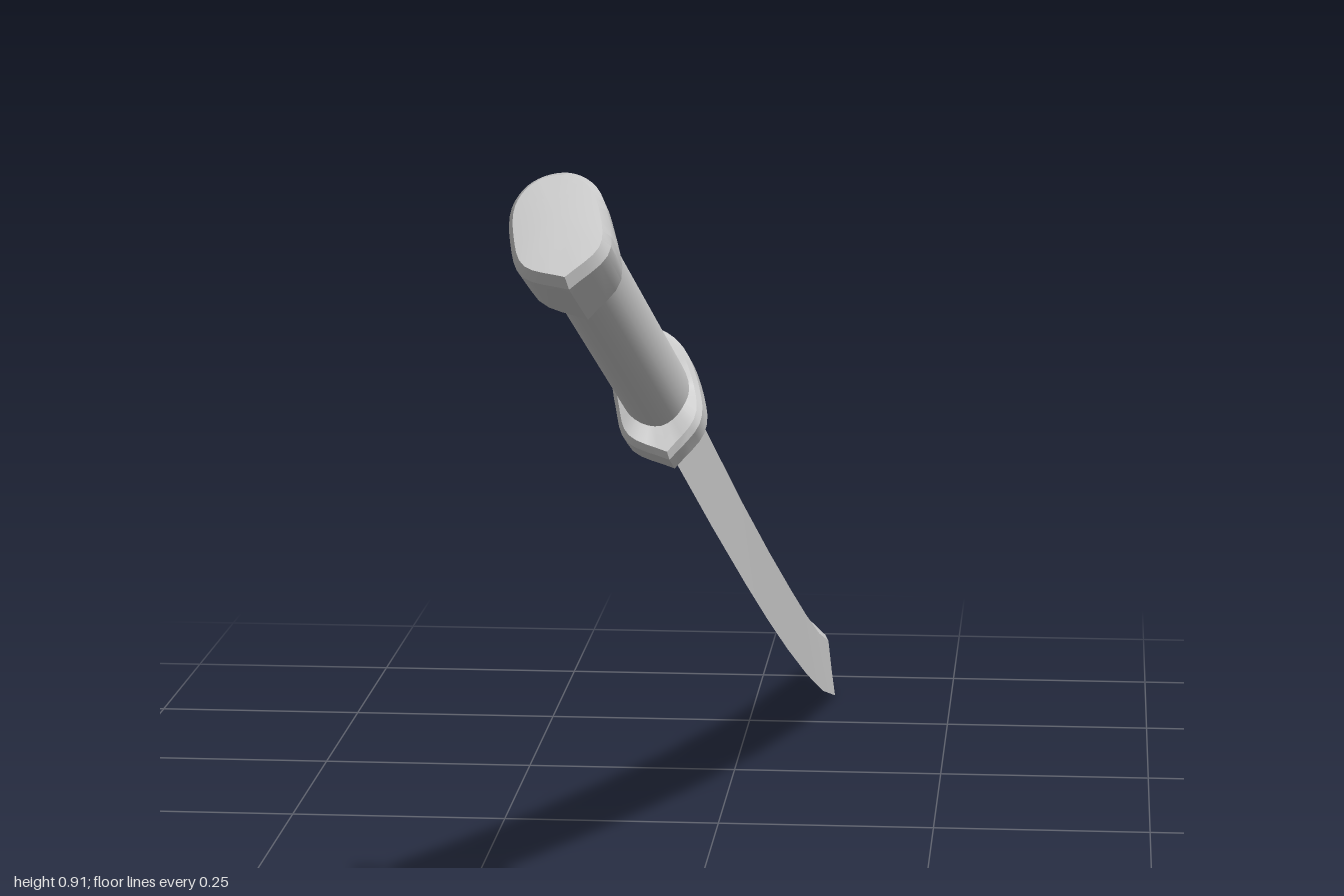
import * as THREE from 'three';
import { toCreasedNormals } from 'three/addons/utils/BufferGeometryUtils.js';

const material = new THREE.MeshStandardMaterial({ color: 0xcccccc });

// Skin a list of equal-length rings (counter-clockwise from +z, advancing along +z), with capped ends.
function loft(rings, crease, dome = 0) {
  const n = rings[0].length;
  const points = rings.flat();
  const index = [];
  for (let r = 0; r < rings.length - 1; r++) {
    for (let i = 0; i < n; i++) {
      const a = r * n + i, b = r * n + (i + 1) % n;
      index.push(a, b, b + n, a, b + n, a + n);
    }
  }
  [0, rings.length - 1].forEach((r) => {
    const center = new THREE.Vector3();
    rings[r].forEach((p) => center.addScaledVector(p, 1 / n));
    if (r) center.z += dome;
    const c = points.push(center) - 1;
    for (let i = 0; i < n; i++) {
      const a = r * n + i, b = r * n + (i + 1) % n;
      if (r) index.push(c, a, b);
      else index.push(c, b, a);
    }
  });
  const geometry = new THREE.BufferGeometry().setFromPoints(points);
  geometry.setIndex(index);
  return toCreasedNormals(geometry, crease);
}

function part(name, geometry) {
  const mesh = new THREE.Mesh(geometry, material);
  mesh.name = name;
  return mesh;
}

// Teardrop outline: round on top, pointed below; the third value is a chevron shift along the sword.
const half = [
  [0, -0.083, 0.008], [0.037, -0.055, 0.009], [0.043, -0.012, -0.011],
  [0.037, 0.03, -0.005], [0.02, 0.052, 0], [0, 0.058, 0],
];
const mirrored = half.slice(0, -1).reverse().map(([x, y, z]) => [-x, y, z]);
const outline = new THREE.CatmullRomCurve3(
  [...half, ...mirrored].map((p) => new THREE.Vector3(...p)), false, 'centripetal',
).getPoints(40).slice(0, -1);

// One ring of the outline, scaled, with z set by a rule.
const ring = (sx, sy, z) =>
  outline.map((p) => new THREE.Vector3(p.x * sx, p.y * sy, z(p)));

function createBlade() {
  // Stations from tip to guard: spine z, spine y, edge z, edge y, half thickness, shoulder drop
  const stations = [
    [-1.551, 0.093, -1.549, 0.091, 0.0005, 0.001],
    [-1.5, 0.086, -1.519, 0.034, 0.006, 0.015],
    [-1.42, 0.076, -1.48, -0.006, 0.01, 0.022],
    [-1.255, 0.052, -1.288, -0.041, 0.014, 0.028],
    [-1.08, 0.038, -1.09, -0.062, 0.016, 0.03],
    [-0.911, 0.028, -0.889, -0.075, 0.018, 0.03],
    [-0.7, 0.021, -0.71, -0.081, 0.019, 0.027],
    [-0.478, 0.019, -0.526, -0.082, 0.02, 0.023],
    [-0.25, 0.025, -0.27, -0.078, 0.021, 0.019],
    [0, 0.035, 0, -0.068, 0.022, 0.016],
  ];
  const rings = stations.map(([sz, sy, ez, ey, t, drop]) => [
    new THREE.Vector3(0, ey, ez),
    new THREE.Vector3(t, sy - drop, sz),
    new THREE.Vector3(0, sy, sz),
    new THREE.Vector3(-t, sy - drop, sz),
  ]);
  return part('blade', loft(rings, 0.3));
}

function createGuard() {
  const rings = [
    ring(0.9, 0.92, (p) => p.z - 0.024),
    ring(1, 1, (p) => p.z - 0.016),
    ring(1, 1, (p) => p.z + 0.018),
    ring(0.9, 0.92, (p) => p.z + 0.025),
  ];
  return part('guard', loft(rings, 0.5));
}

function createGrip() {
  const geometry = new THREE.CylinderGeometry(0.043, 0.043, 0.53, 32);
  geometry.rotateX(Math.PI / 2);
  geometry.scale(0.8, 1, 1);
  const grip = part('grip', geometry);
  grip.position.set(0, -0.005, 0.265);
  return grip;
}

function createPommel() {
  // Chevron collar that flares out to a slanted end face
  const collar = (offset) => (p) => 0.52 - p.z * 0.7 + offset - (p.y < -0.03 ? (-0.03 - p.y) * 0.45 : 0);
  const slant = (offset) => (p) => 0.572 - 0.37 * p.y + offset;
  const rings = [
    ring(0.88, 0.82, collar(-0.012)),
    ring(1.03, 0.88, collar(0)),
    ring(1.05, 0.9, slant(-0.012)),
    ring(0.92, 0.8, slant(0)),
  ];
  // The chevron points the other way here, so the middle of the collar sits further out.
  return part('pommel', loft(rings, 0.5, 0.006));
}

export function createModel() {
  const sword = new THREE.Group();
  sword.name = 'sword';
  sword.add(createBlade(), createGuard(), createGrip(), createPommel());

  // Lay the sword along its slope, with a slight roll
  const x = new THREE.Vector3(1, 0.262, -0.043).normalize();
  const z = new THREE.Vector3(-0.04, 0.235, 0.5).normalize();
  const y = new THREE.Vector3().crossVectors(z, x).normalize();
  x.crossVectors(y, z);
  sword.applyMatrix4(new THREE.Matrix4().makeBasis(x, y, z).setPosition(-0.008, 0.635, 0.44));

  const model = new THREE.Group();
  model.name = 'curvedSword';
  model.add(sword);
  return model;
}
